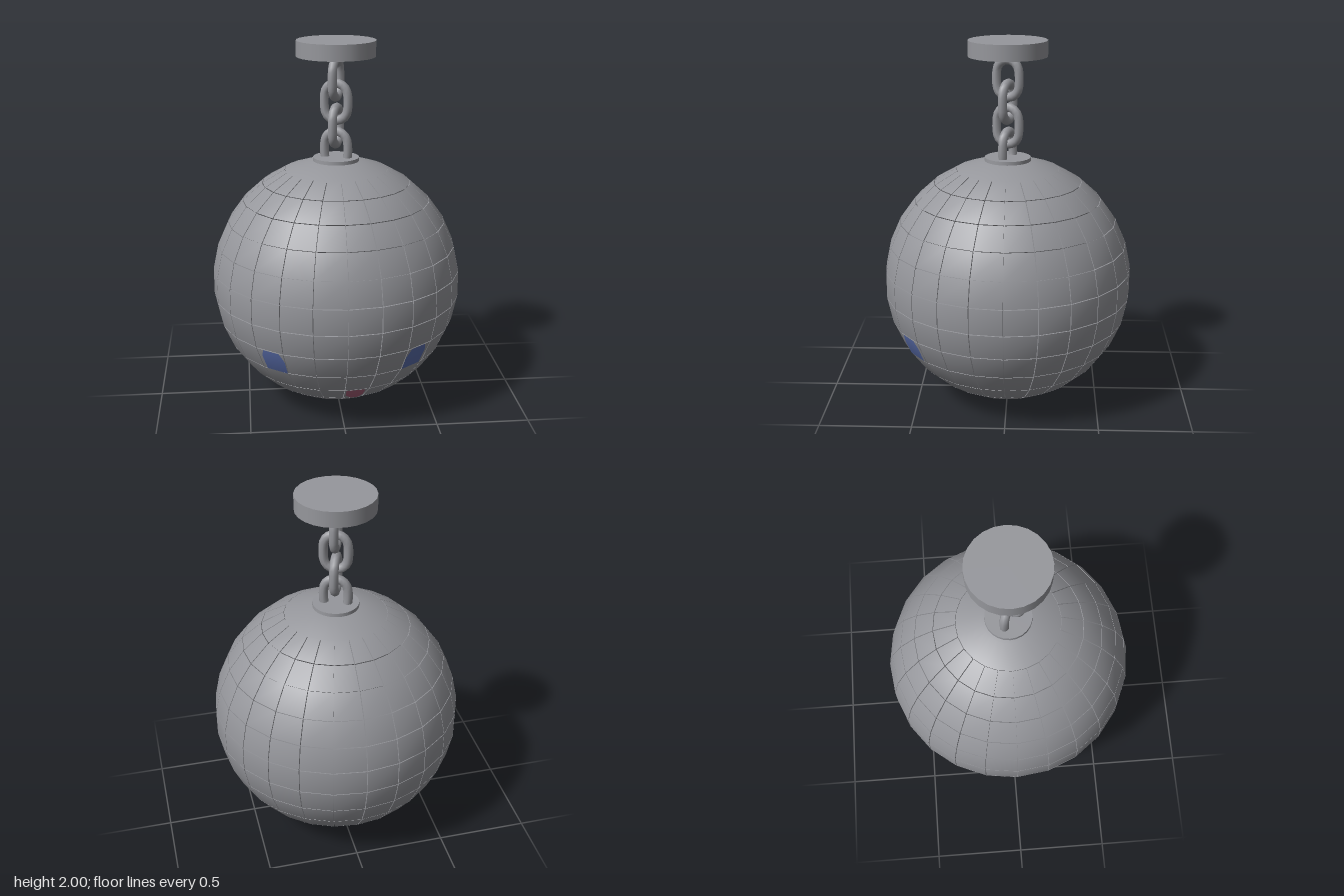
import * as THREE from 'three';
import { mergeGeometries } from 'three/addons/utils/BufferGeometryUtils.js';

const R = 0.683, CENTER = 0.684, COLS = 24, ROWS = 15;
const rad = THREE.MathUtils.degToRad;

// Point on the ball from azimuth (0 = front, towards +x) and latitude, in degrees
function onBall(az, lat, r = R) {
  const c = Math.cos(rad(lat)) * r;
  return new THREE.Vector3(c * Math.sin(rad(az)), r * Math.sin(rad(lat)), c * Math.cos(rad(az)));
}

// Tile corners, counter-clockwise from lower left, with a narrow joint all round
function tileCorners(row, col, r) {
  const da = 360 / COLS, dl = 180 / ROWS, lat = -90 + row * dl;
  const joint = 0.17, l0 = lat + joint, l1 = lat + dl - joint;
  const at = (side, l) => onBall((col + side) * da + (side ? -1 : 1) * joint / Math.cos(rad(l)), l, r);
  return [at(0, l0), at(1, l0), at(1, l1), at(0, l1)];
}

// One mirror tile: smooth outer face and four flat walls
function tileGeometry(row, col) {
  const out = tileCorners(row, col, R), inn = tileCorners(row, col, R - 0.025);
  const pos = [], nor = [];
  const add = (pts, normals) => [0, 1, 2, 0, 2, 3].forEach(i => {
    pos.push(...pts[i].toArray());
    nor.push(...normals[i].toArray());
  });
  add(out, out.map(p => p.clone().normalize()));
  for (let i = 0; i < 4; i++) {
    const j = (i + 1) % 4, wall = [inn[i], inn[j], out[j], out[i]];
    const n = wall[1].clone().sub(wall[0]).cross(wall[3].clone().sub(wall[0])).normalize();
    add(wall, [n, n, n, n]);
  }
  const g = new THREE.BufferGeometry();
  g.setAttribute('position', new THREE.Float32BufferAttribute(pos, 3));
  g.setAttribute('normal', new THREE.Float32BufferAttribute(nor, 3));
  return g;
}

// Thin coloured face lying on a tile; outline in 0..1 tile coordinates
function paintGeometry(row, col, outline) {
  const c = tileCorners(row, col, R + 0.002);
  const pts = outline.map(([u, v]) =>
    c[0].clone().lerp(c[1], u).lerp(c[3].clone().lerp(c[2], u), v));
  const g = new THREE.BufferGeometry().setFromPoints(pts);
  const idx = [];
  for (let i = 1; i < pts.length - 1; i++) idx.push(0, i, i + 1);
  g.setIndex(idx);
  g.setAttribute('normal', new THREE.Float32BufferAttribute(
    pts.flatMap(p => p.clone().normalize().toArray()), 3));
  return g;
}

// Chain link: tube along an elongated loop
function linkGeometry() {
  const w = 0.064, h = 0.036, pts = [];
  for (let i = 0; i < 12; i++) {
    const a = rad(i * 30 + 15);
    pts.push(new THREE.Vector3(w * Math.cos(a), w * Math.sin(a) + h * Math.sign(Math.sin(a)), 0));
  }
  const path = new THREE.CatmullRomCurve3(pts, true);
  return new THREE.TubeGeometry(path, 24, 0.025, 8, true);
}

export function createModel() {
  const model = new THREE.Group();
  model.name = 'hangingMirrorBall';
  const grey = new THREE.MeshStandardMaterial({ color: 0x96979c });
  grey.name = 'grey metal';
  const blue = new THREE.MeshStandardMaterial({ color: 0x5b6fae });
  blue.name = 'blue tile';
  const pink = new THREE.MeshStandardMaterial({ color: 0xa86078 });
  pink.name = 'pink tile';

  const add = (parent, name, geometry, material, y = 0) => {
    const m = new THREE.Mesh(geometry, material);
    m.name = name;
    m.position.y = y;
    parent.add(m);
    return m;
  };

  // Ball: core, tile rows and smooth end caps
  const ball = new THREE.Group();
  ball.name = 'ball';
  ball.position.y = CENTER;
  model.add(ball);
  add(ball, 'core', new THREE.SphereGeometry(R - 0.015, COLS, ROWS), grey);
  const tiles = [];
  for (let row = 2; row < ROWS - 2; row++)
    for (let col = 0; col < COLS; col++) tiles.push(tileGeometry(row, col));
  add(ball, 'tiles', mergeGeometries(tiles), grey);
  add(ball, 'topCap', new THREE.SphereGeometry(R, COLS, 2, 0, Math.PI * 2, 0, rad(24)), grey);
  add(ball, 'bottomCap', new THREE.SphereGeometry(R, COLS, 2, 0, Math.PI * 2, rad(156), rad(24)), grey);

  // Coloured tiles on the front
  const blueShape = [[0, 0], [0.85, 0], [0.87, 0.65], [0.75, 1], [0.15, 1], [0, 0.6]];
  const mirrored = blueShape.map(([u, v]) => [1 - u, v]).reverse();
  add(ball, 'leftBlueTile', paintGeometry(5, 2, blueShape), blue);
  add(ball, 'rightBlueTile', paintGeometry(5, -3, mirrored), blue);
  add(ball, 'pinkTile', paintGeometry(3, 0,
    [[0.4, 0], [0.78, 0], [0.93, 0.35], [0.85, 1], [0.05, 1], [0.08, 0.35]]), pink);

  // Collar on top of the ball
  add(model, 'collar', new THREE.CylinderGeometry(0.125, 0.127, 0.04, 24), grey, 1.353);

  // Chain of four links, each turned a quarter from the last
  const chain = new THREE.Group();
  chain.name = 'chain';
  model.add(chain);
  const link = linkGeometry();
  [1.797, 1.672, 1.543, 1.413].forEach((y, i) => {
    add(chain, 'link' + (i + 1), link, grey, y).rotation.y = rad(i % 2 ? -23 : 67);
  });

  // Ceiling plate
  add(model, 'ceilingPlate', new THREE.CylinderGeometry(0.212, 0.212, 0.085, 24), grey, 1.9575);
  return model;
}
